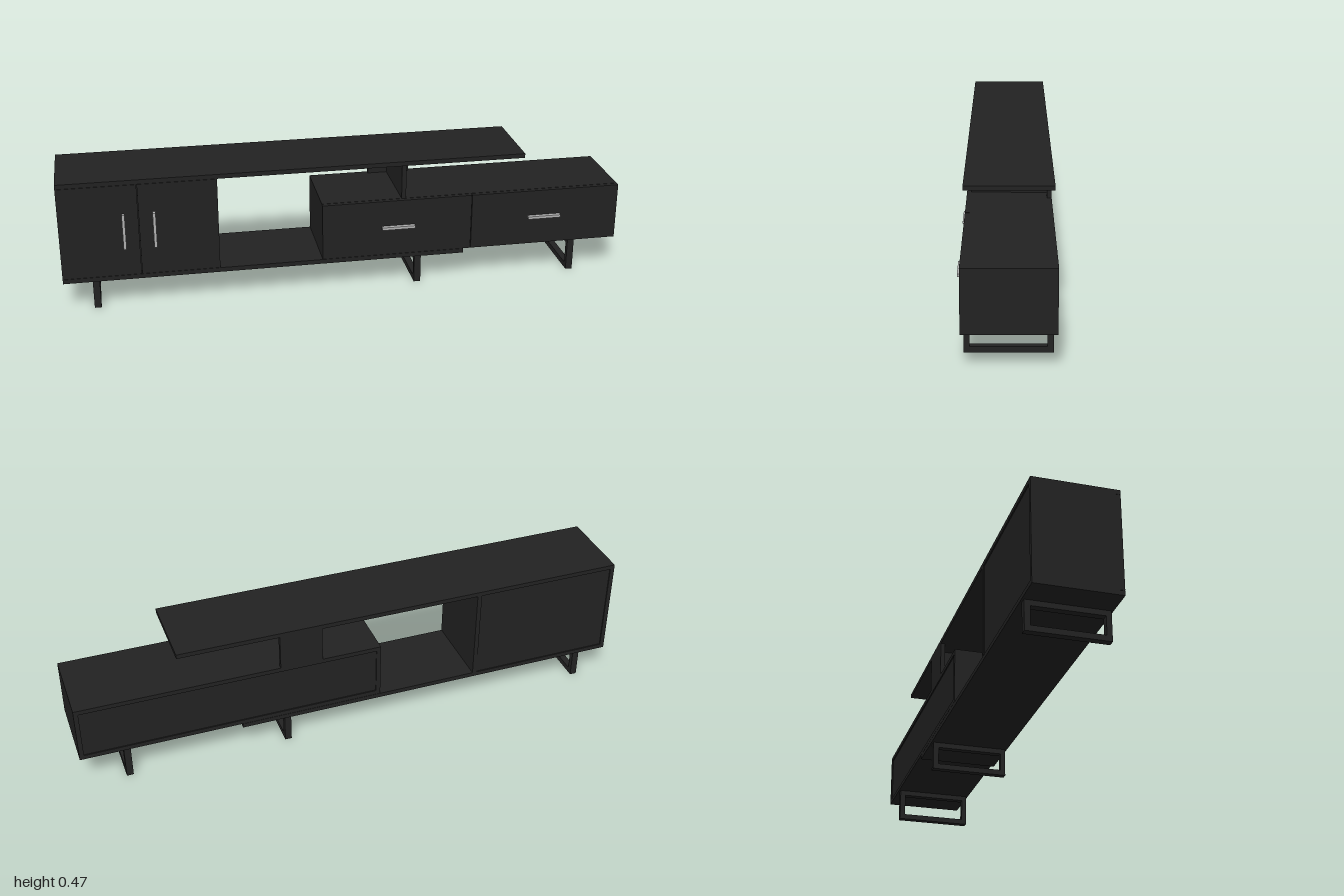
import * as THREE from 'three';

export function createModel() {
  const root = new THREE.Group();
  root.name = 'mediaConsole';

  const wood = new THREE.MeshStandardMaterial({ color: 0x222222 });
  wood.name = 'blackWood';
  const metal = new THREE.MeshStandardMaterial({ color: 0xb0b0b0 });
  metal.name = 'handleGrey';

  // Box given by its minimum and maximum on each axis
  function panel(name, [x0, x1], [y0, y1], [z0, z1], material = wood, parent = root) {
    const mesh = new THREE.Mesh(new THREE.BoxGeometry(x1 - x0, y1 - y0, z1 - z0), material);
    mesh.position.set((x0 + x1) / 2, (y0 + y1) / 2, (z0 + z1) / 2);
    mesh.name = name;
    parent.add(mesh);
    return mesh;
  }

  const T = 0.016;                       // board thickness
  const BACK = -0.152, FRONT = 0.138;
  const INNER = FRONT - T;               // plane behind doors and drawer fronts
  const depth = [BACK, FRONT];
  const carcass = [BACK, INNER];
  const backPanel = [BACK + 0.004, BACK + T];
  const GAP = 0.001;

  // Long boards
  panel('topBoard', [-1, 0.64], [0.457, 0.473], depth);
  panel('bottomBoard', [-1, 0.425], [0.104, 0.12], depth);

  // Tall cabinet with two doors
  const tall = new THREE.Group();
  tall.name = 'tallCabinet';
  root.add(tall);
  const tallY = [0.12, 0.457];
  panel('cabinetOuterSide', [-1, -1 + T], tallY, carcass, wood, tall);
  panel('cabinetInnerSide', [-0.455 - T, -0.455], tallY, carcass, wood, tall);
  panel('cabinetBack', [-1 + T, -0.455 - T], tallY, backPanel, wood, tall);
  const doorY = [0.121, 0.456];
  panel('outerDoor', [-1, -0.728 - GAP], doorY, [INNER, FRONT], wood, tall);
  panel('innerDoor', [-0.728 + GAP, -0.455], doorY, [INNER, FRONT], wood, tall);

  // Low drawer unit
  const low = new THREE.Group();
  low.name = 'drawerUnit';
  root.add(low);
  const x0 = -0.09, x1 = 1, y0 = 0.121, y1 = 0.328;
  panel('unitTop', [x0, x1], [y1 - T, y1], carcass, wood, low);
  panel('unitBottom', [x0, x1], [y0, y0 + T], carcass, wood, low);
  const sideY = [y0 + T, y1 - T];
  panel('unitInnerSide', [x0, x0 + T], sideY, carcass, wood, low);
  panel('unitOuterSide', [x1 - T, x1], sideY, carcass, wood, low);
  panel('unitBack', [x0 + T, x1 - T], sideY, backPanel, wood, low);
  const drawerY = [y0, y1 - 0.001];
  panel('innerDrawerFront', [x0, 0.452 - GAP], drawerY, [INNER, FRONT], wood, low);
  panel('outerDrawerFront', [0.452 + GAP, x1], drawerY, [INNER, FRONT], wood, low);

  // T-shaped post carrying the top board
  const post = new THREE.Group();
  post.name = 'supportPost';
  root.add(post);
  panel('postBack', [0.127, 0.28], [y1, 0.457], [BACK, BACK + T], wood, post);
  panel('postRib', [0.197, 0.213], [y1, 0.457], [BACK + T, INNER], wood, post);

  // Handles
  const handleZ = [FRONT, 0.153];
  for (const x of [-0.78, -0.675]) {
    panel('doorHandle', [x - 0.005, x + 0.005], [0.224, 0.352], handleZ, metal);
  }
  for (const x of [0.183, 0.722]) {
    panel('drawerHandle', [x - 0.06, x + 0.06], [0.222, 0.232], handleZ, metal);
  }

  // Rectangular frame legs
  for (const [x, top] of [[-0.887, 0.104], [0.258, 0.104], [0.836, 0.121]]) {
    const shape = new THREE.Shape([
      new THREE.Vector2(-0.132, 0), new THREE.Vector2(0.145, 0),
      new THREE.Vector2(0.145, top), new THREE.Vector2(-0.132, top),
    ]);
    shape.holes.push(new THREE.Path([
      new THREE.Vector2(-0.114, 0.02), new THREE.Vector2(-0.114, top - 0.019),
      new THREE.Vector2(0.125, top - 0.019), new THREE.Vector2(0.125, 0.02),
    ]));
    const geometry = new THREE.ExtrudeGeometry(shape, { depth: 0.024, bevelEnabled: false });
    geometry.translate(0, 0, -0.012);
    geometry.rotateY(Math.PI / 2);
    const leg = new THREE.Mesh(geometry, wood);
    leg.position.x = x;
    leg.name = 'frameLeg';
    root.add(leg);
  }

  return root;
}
